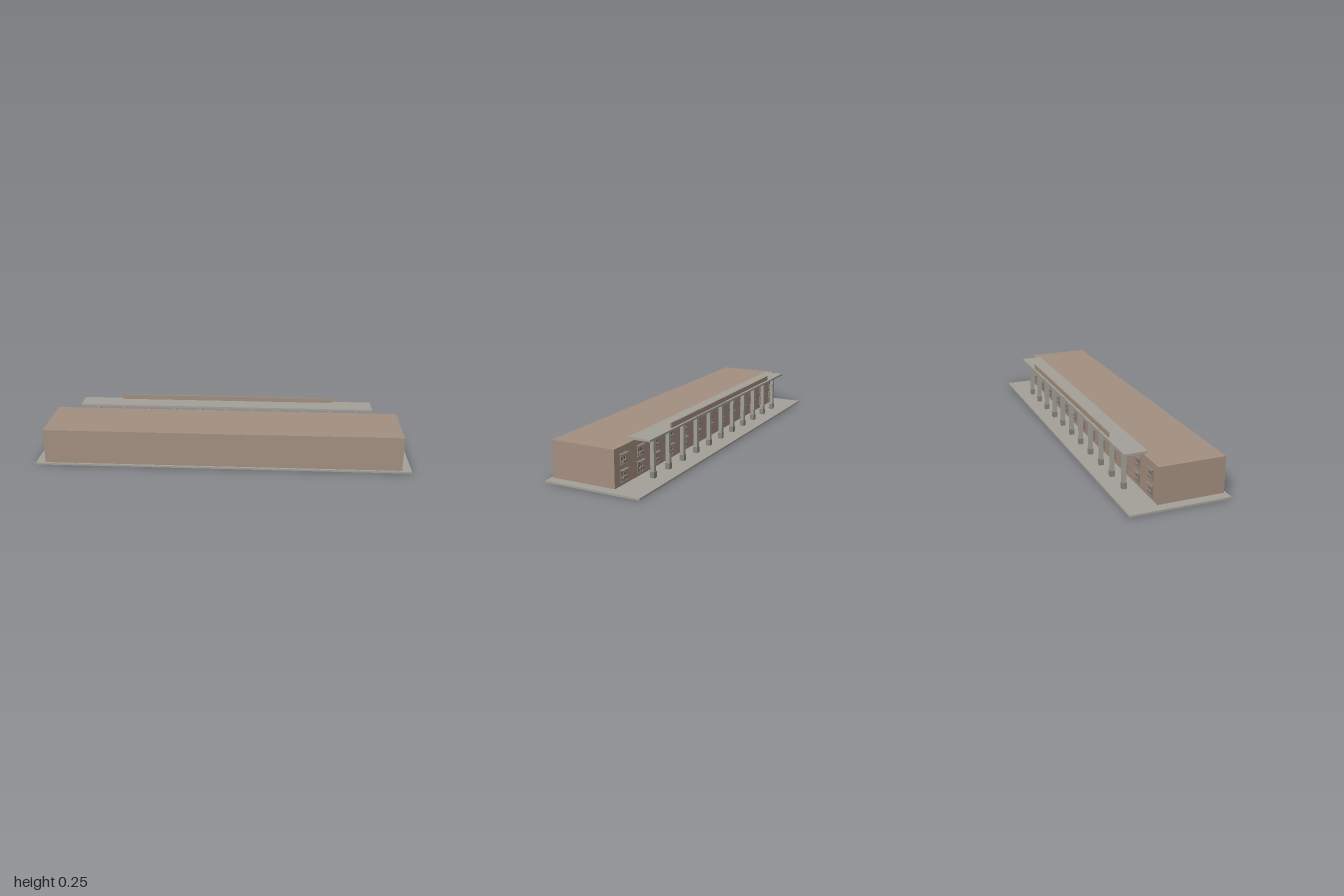
import * as THREE from 'three';

const mat = (color) => new THREE.MeshStandardMaterial({ color });
const brown = mat(0xa38f80);
const stone = mat(0xa3a198);
const plinth = mat(0x8a867e);
const trim = mat(0x8b8078);
const glass = mat(0x6a6560);

// Box given by its extents on each axis
function box(name, [x0, x1], [y0, y1], [z0, z1], material) {
  const mesh = new THREE.Mesh(new THREE.BoxGeometry(x1 - x0, y1 - y0, z1 - z0), material);
  mesh.position.set((x0 + x1) / 2, (y0 + y1) / 2, (z0 + z1) / 2);
  mesh.name = name;
  return mesh;
}

const WALL = -0.097; // rear wall plane carrying the windows
const BAY = 0.1465; // spacing shared by columns and windows

// Two-light window with hood, sill and a planter on the rear wall
function createWindow(y0, y1, planterY) {
  const g = new THREE.Group();
  g.name = 'window';
  const face = [WALL - 0.005, WALL];
  g.add(box('pane', [-0.022, 0.022], [y0, y1], [WALL - 0.0015, WALL], glass));
  for (const x of [-0.021, 0, 0.021]) {
    g.add(box('windowPost', [x - 0.0025, x + 0.0025], [y0, y1], face, trim));
  }
  for (const y of [y0 + 0.002, y0 + (y1 - y0) * 0.68, y1 - 0.003]) {
    g.add(box('windowRail', [-0.0235, 0.0235], [y - 0.002, y + 0.002], face, trim));
  }
  g.add(box('hood', [-0.03, 0.03], [y1 - 0.002, y1], [WALL - 0.018, WALL], trim));
  g.add(box('sill', [-0.026, 0.026], [y0 - 0.001, y0 + 0.0015], [WALL - 0.009, WALL], trim));
  g.add(box('planter', [-0.016, 0.016], [planterY, planterY + 0.011], [WALL - 0.014, WALL - 0.004], trim));
  return g;
}

// Square column on a wider plinth
function createColumn() {
  const g = new THREE.Group();
  g.name = 'column';
  g.add(box('columnBase', [-0.012, 0.012], [0.01, 0.041], [-0.182, -0.158], plinth));
  g.add(box('columnShaft', [-0.01, 0.01], [0.041, 0.209], [-0.18, -0.16], stone));
  return g;
}

export function createModel() {
  const model = new THREE.Group();
  model.name = 'colonnadedBuilding';

  // Ground slab and main block
  model.add(box('baseSlab', [-1, 1], [0, 0.01], [-0.256, 0.256], stone));
  model.add(box('mainBlock', [-0.95, 0.95], [0.01, 0.196], [WALL, 0.245], brown));

  // Canopy with parapet
  model.add(box('canopyRoof', [-0.815, 0.815], [0.209, 0.22], [-0.205, -0.088], stone));
  model.add(box('parapet', [-0.597, 0.597], [0.22, 0.245], [-0.194, -0.187], brown));

  // Colonnade
  for (let i = -5; i <= 5; i++) {
    const column = createColumn();
    column.position.x = i * BAY;
    model.add(column);
  }

  // Two storeys of windows
  for (let i = -6; i <= 6; i++) {
    for (const [y0, y1, planterY] of [[0.027, 0.086, 0.044], [0.11, 0.164, 0.12]]) {
      const win = createWindow(y0, y1, planterY);
      win.position.x = i * BAY;
      model.add(win);
    }
  }
  return model;
}
